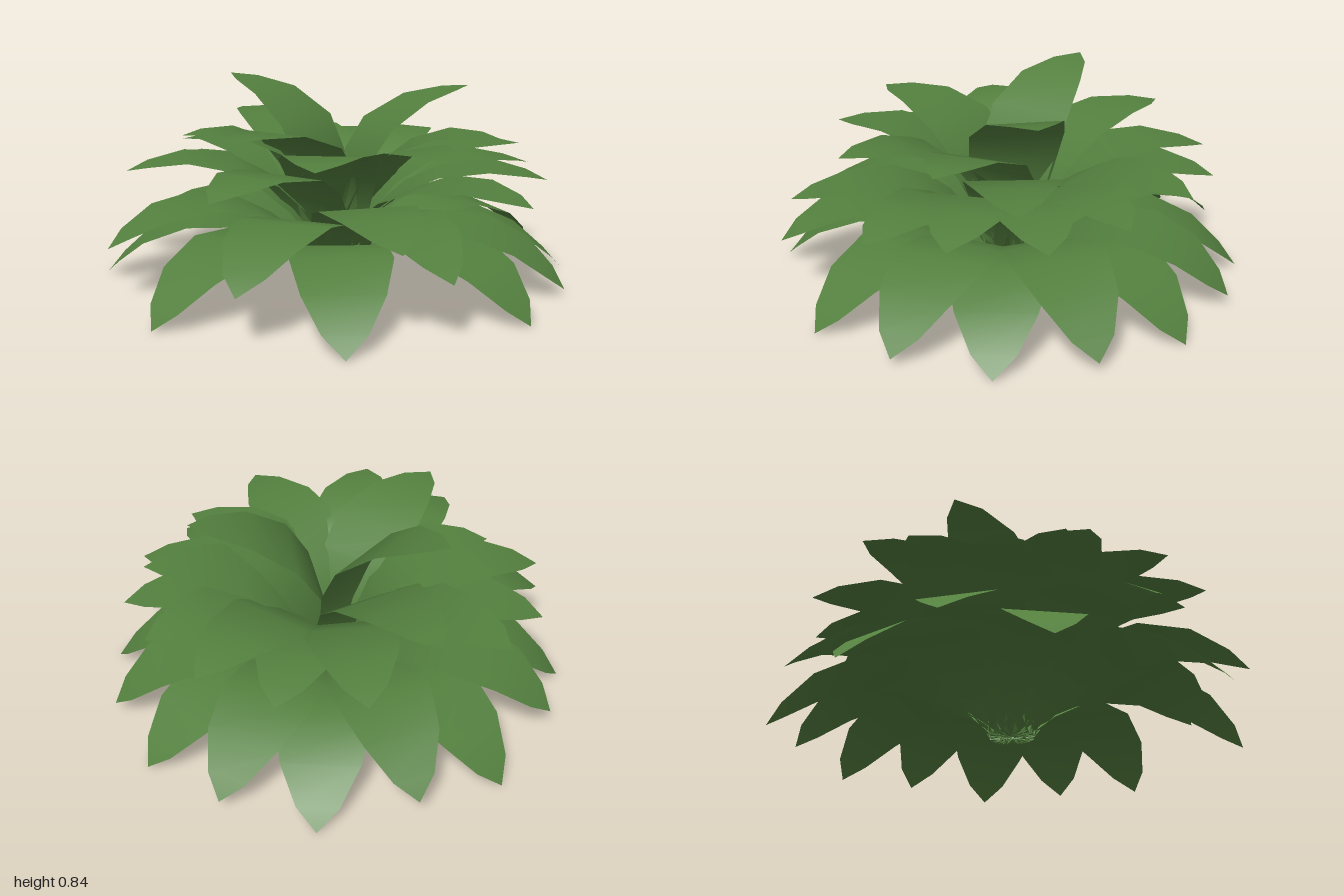
import * as THREE from 'three';

// Half-width of a leaf along its length: [position 0..1, half-width]
const OUTLINE = [
  [0, 0.095], [0.15, 0.12], [0.3, 0.155], [0.45, 0.188], [0.6, 0.198],
  [0.78, 0.155], [0.92, 0.083], [1, 0],
];

// One arching leaf from the crown to its tip; higher leaves rise more steeply.
// droop lifts the arch above the tip.
function leafGeometry(x, y, z, droop) {
  const reach = Math.hypot(x, z);
  const ux = x / reach, uz = z / reach;
  const k = y / 0.85;
  const at = (r, h) => new THREE.Vector3(ux * r, h, uz * r);
  const spine = new THREE.CubicBezierCurve3(
    at(0.01, 0),
    at(0.32 - 0.3 * k, 0.28 + 0.35 * y),
    at((0.68 - 0.52 * k * k) * reach, y + droop),
    at(reach, y),
  );
  const positions = [], index = [];
  OUTLINE.forEach(([t, w], i) => {
    const p = spine.getPointAt(t);
    positions.push(p.x - uz * w, p.y, p.z + ux * w);
    positions.push(p.x + uz * w, p.y, p.z - ux * w);
    if (i === 0) return;
    const a = 2 * i - 2, b = a + 1, c = a + 2, d = a + 3;
    index.push(a, c, b);
    if (i < OUTLINE.length - 1) index.push(b, c, d);
  });
  const geometry = new THREE.BufferGeometry();
  geometry.setAttribute('position', new THREE.Float32BufferAttribute(positions, 3));
  geometry.setIndex(index);
  geometry.computeVertexNormals();
  return geometry;
}

export function createModel() {
  const plant = new THREE.Group();
  plant.name = 'leafyPlant';
  const leafGreen = new THREE.MeshStandardMaterial({ color: 0x54803f, side: THREE.DoubleSide });
  leafGreen.name = 'leafGreen';

  const tier = (name) => {
    const group = new THREE.Group();
    group.name = name;
    plant.add(group);
    return (x, y, z, droop) => {
      const leaf = new THREE.Mesh(leafGeometry(x, y, z, droop), leafGreen);
      leaf.name = 'leaf';
      group.add(leaf);
    };
  };

  // Lowest ring, tips touching the ground
  const ground = tier('groundLeaves');
  for (let i = 0; i < 8; i++) {
    const a = (i * Math.PI) / 4;
    ground(Math.cos(a), 0.003, Math.sin(a), 0.4);
  }

  // Second ring, climbing gradually around the plant
  const lower = tier('lowerLeaves');
  [0.03, 0.04, 0.045, 0.1, 0.11, 0.22, 0.2, 0.24].forEach((y, i) => {
    const a = Math.PI / 8 - (i * Math.PI) / 4;
    lower(0.995 * Math.cos(a), y, 0.985 * Math.sin(a), 0.4 - 0.45 * y);
  });

  // Middle ring
  const middle = tier('middleLeaves');
  [
    [0.88, 0.44, 0.17], [0.88, 0.44, -0.19], [0.72, 0.47, -0.48],
    [0.47, 0.5, -0.73], [0.16, 0.48, -0.85], [-0.18, 0.5, -0.85],
    [-0.72, 0.5, -0.48], [-0.87, 0.44, -0.17], [-0.87, 0.49, 0.16],
    [-0.48, 0.49, 0.72], [0.2, 0.35, 0.91], [0.75, 0.4, 0.49],
  ].forEach(([x, y, z]) => middle(x, y, z, 0.15));

  // Upper, nearly level leaves
  const upper = tier('upperLeaves');
  [
    [0.81, 0.55, -0.08], [0.66, 0.63, 0.24], [0.43, 0.62, 0.64],
    [-0.1, 0.61, 0.76], [-0.64, 0.63, 0.12], [-0.44, 0.63, -0.655],
  ].forEach(([x, y, z]) => upper(x, y, z, 0.07));

  // Tall leaves at the heart
  const heart = tier('heartLeaves');
  heart(-0.4, 0.69, 0.6, 0.05);
  heart(0.59, 0.8, -0.14, -0.04);
  heart(-0.465, 0.84, -0.3, -0.06);

  return plant;
}
